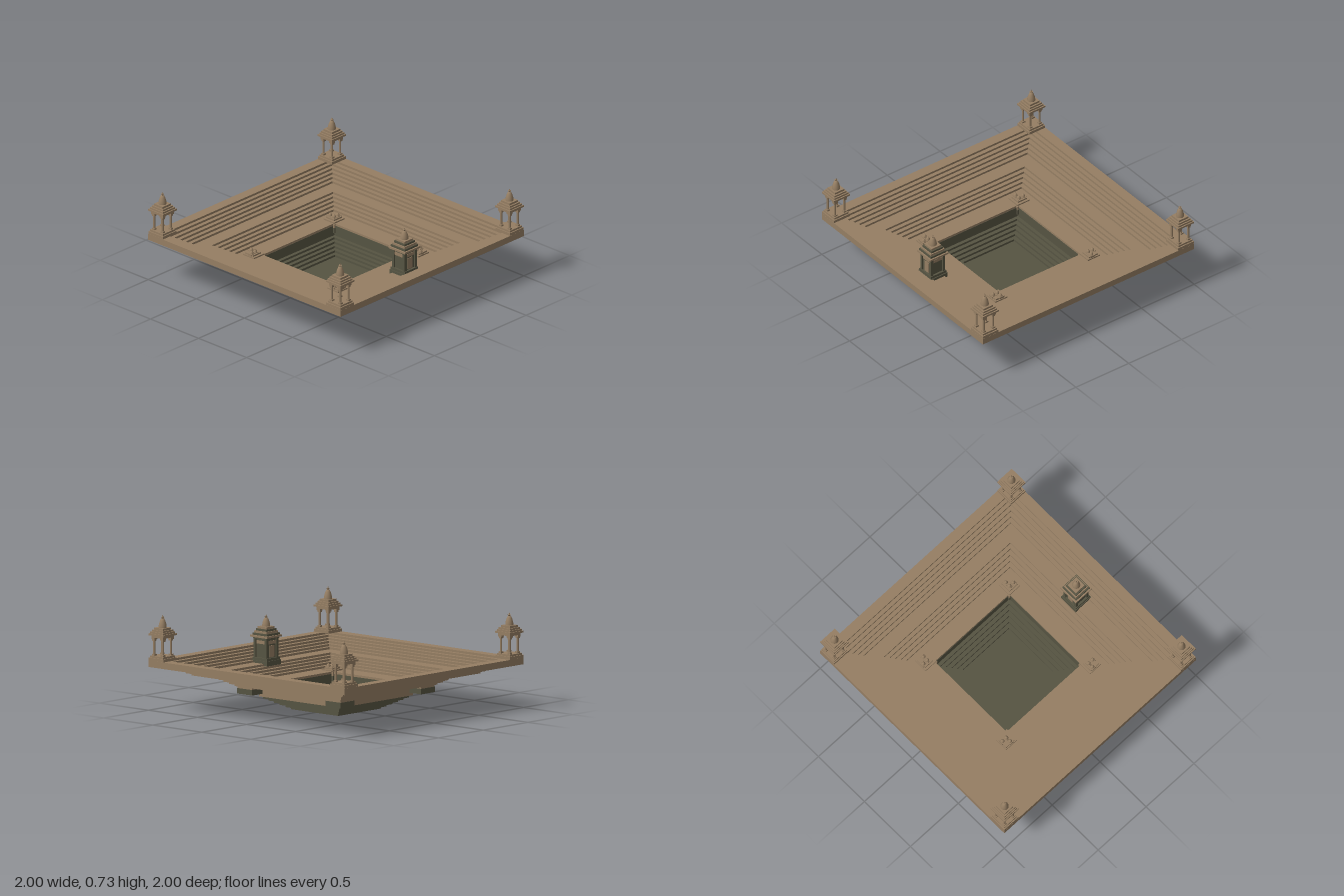
import * as THREE from 'three';

const stone = new THREE.MeshStandardMaterial({ color: 0x957e63 });
stone.name = 'sandstone';
const moss = new THREE.MeshStandardMaterial({ color: 0x565442 });
moss.name = 'mossy stone';

function add(parent, name, geometry, material, x = 0, y = 0, z = 0) {
  const mesh = new THREE.Mesh(geometry, material);
  mesh.name = name;
  mesh.position.set(x, y, z);
  parent.add(mesh);
  return mesh;
}

// Square slab given by half width and its bottom and top heights
function slab(parent, name, half, y0, y1, material, x = 0, z = 0) {
  return add(parent, name, new THREE.BoxGeometry(half * 2, y1 - y0, half * 2), material, x, (y0 + y1) / 2, z);
}

// Square frame between two half widths
function frame(parent, name, outer, inner, y0, y1, material) {
  const square = (Type, r) => {
    const s = new Type();
    s.moveTo(-r, -r).lineTo(r, -r).lineTo(r, r).lineTo(-r, r).closePath();
    return s;
  };
  const shape = square(THREE.Shape, outer);
  shape.holes.push(square(THREE.Path, inner));
  const geo = new THREE.ExtrudeGeometry(shape, { depth: y1 - y0, bevelEnabled: false });
  geo.rotateX(-Math.PI / 2);
  return add(parent, name, geo, material, 0, y0, 0);
}

// Bullet dome with a small pointed finial
function spire(parent, radius, height, y, material, x = 0, z = 0) {
  const pts = [[1, 0], [1, 0.12], [0.88, 0.4], [0.65, 0.7], [0.38, 0.92], [0, 1]]
    .map(([r, h]) => new THREE.Vector2(r * radius, h * height));
  add(parent, 'dome', new THREE.LatheGeometry(pts, 16), material, x, y, z);
  const top = y + height;
  add(parent, 'finialDisc', new THREE.CylinderGeometry(radius * 0.42, radius * 0.25, height * 0.1, 10), material, x, top, z);
  add(parent, 'finialTip', new THREE.ConeGeometry(radius * 0.25, height * 0.25, 8), material, x, top + height * 0.17, z);
}

function cornerPavilion() {
  const g = new THREE.Group();
  g.name = 'cornerPavilion';
  slab(g, 'lowerPlinth', 0.075, 0, 0.022, stone);
  slab(g, 'upperPlinth', 0.066, 0.022, 0.037, stone);
  for (const x of [-0.044, 0.044]) for (const z of [-0.044, 0.044]) {
    slab(g, 'columnFoot', 0.013, 0.037, 0.05, stone, x, z);
    add(g, 'column', new THREE.CylinderGeometry(0.0085, 0.0085, 0.12, 8), stone, x, 0.108, z);
    slab(g, 'columnBracket', 0.012, 0.15, 0.163, stone, x, z);
    slab(g, 'columnCapital', 0.016, 0.163, 0.176, stone, x, z);
  }
  slab(g, 'lintel', 0.06, 0.176, 0.192, stone);
  slab(g, 'eave', 0.076, 0.192, 0.206, stone);
  [[0.067, 0.206, 0.22], [0.057, 0.22, 0.234], [0.045, 0.234, 0.25]]
    .forEach(([h, a, b]) => slab(g, 'roofTier', h, a, b, stone));
  spire(g, 0.031, 0.075, 0.25, stone);
  return g;
}

// Mossy shrine standing on the upper terrace
function terraceShrine() {
  const g = new THREE.Group();
  g.name = 'terraceShrine';
  slab(g, 'foundation', 0.08, 0.235, 0.3, moss);
  slab(g, 'plinth', 0.073, 0.3, 0.32, moss);
  slab(g, 'cella', 0.056, 0.32, 0.465, moss);
  slab(g, 'wallBand', 0.06, 0.425, 0.45, stone);
  for (const x of [-0.056, 0.056]) for (const z of [-0.056, 0.056]) {
    slab(g, 'cornerPillar', 0.011, 0.32, 0.465, moss, x, z);
  }
  // Thin doorway panels
  for (const s of [-1, 1]) {
    add(g, 'doorway', new THREE.BoxGeometry(0.05, 0.09, 0.006), stone, 0, 0.37, s * 0.058);
  }
  slab(g, 'cornice', 0.07, 0.465, 0.475, moss);
  slab(g, 'eave', 0.085, 0.475, 0.49, stone);
  [[0.073, moss], [0.064, stone], [0.055, moss], [0.045, stone]]
    .forEach(([h, m], i) => slab(g, 'roofTier', h, 0.49 + i * 0.016, 0.506 + i * 0.016, m));
  spire(g, 0.031, 0.07, 0.554, stone);
  return g;
}

// Low stepped shrine with a cluster of little domes
function poolShrine() {
  const g = new THREE.Group();
  g.name = 'poolShrine';
  slab(g, 'base', 0.077, 0.123, 0.165, moss);
  slab(g, 'platform', 0.075, 0.165, 0.195, stone);
  slab(g, 'outerTier', 0.056, 0.195, 0.207, stone, -0.012, -0.012);
  slab(g, 'innerTier', 0.042, 0.207, 0.219, stone, -0.008, -0.008);
  for (const [x, z] of [[-0.02, -0.02], [0.02, -0.02], [-0.02, 0.02]]) {
    slab(g, 'domeSeat', 0.019, 0.207, 0.222, stone, x, z);
    spire(g, 0.015, 0.022, 0.222, stone, x, z);
  }
  return g;
}

export function createModel() {
  const model = new THREE.Group();
  model.name = 'stepwell';
  const h = 0.0167;

  // Rim and upper flights, with a wide terrace below each flight
  frame(model, 'rim', 1, 0.92, 0.33, 0.38, stone);
  const edges = [0.92, 0.89, 0.86, 0.83, 0.8, 0.77, 0.66, 0.63, 0.6, 0.57, 0.54, 0.39];
  for (let i = 0; i < edges.length - 1; i++) {
    const top = 0.3633 - i * h;
    const wide = edges[i] - edges[i + 1] > 0.05;
    frame(model, wide ? 'terrace' : 'upperStep', edges[i], edges[i + 1], top - h, top, stone);
  }

  // Pool wall, mossy on the inside
  frame(model, 'poolWall', 0.41, 0.395, 0.1, 0.18, stone);
  frame(model, 'poolLining', 0.395, 0.387, 0.1, 0.18, moss);

  // Mossy pool steps and floor
  for (let i = 0; i < 5; i++) {
    const outer = 0.39 - i * 0.03;
    frame(model, 'poolStep', outer, outer - 0.03, 0.1 - (i + 1) * h, 0.1 - i * h, moss);
  }
  slab(model, 'poolFloor', 0.24, 0, h, moss);

  // Buildings at the corners
  for (const sx of [-1, 1]) for (const sz of [-1, 1]) {
    const pavilion = cornerPavilion();
    pavilion.position.set(sx * 0.924, 0.38, sz * 0.924);
    model.add(pavilion);
    const shrine = poolShrine();
    shrine.position.set(sx * 0.45, 0, sz * 0.45);
    shrine.rotation.y = sx > 0 ? (sz > 0 ? 0 : Math.PI / 2) : (sz > 0 ? -Math.PI / 2 : Math.PI);
    model.add(shrine);
  }

  const shrine = terraceShrine();
  shrine.position.z = 0.712;
  model.add(shrine);
  return model;
}
